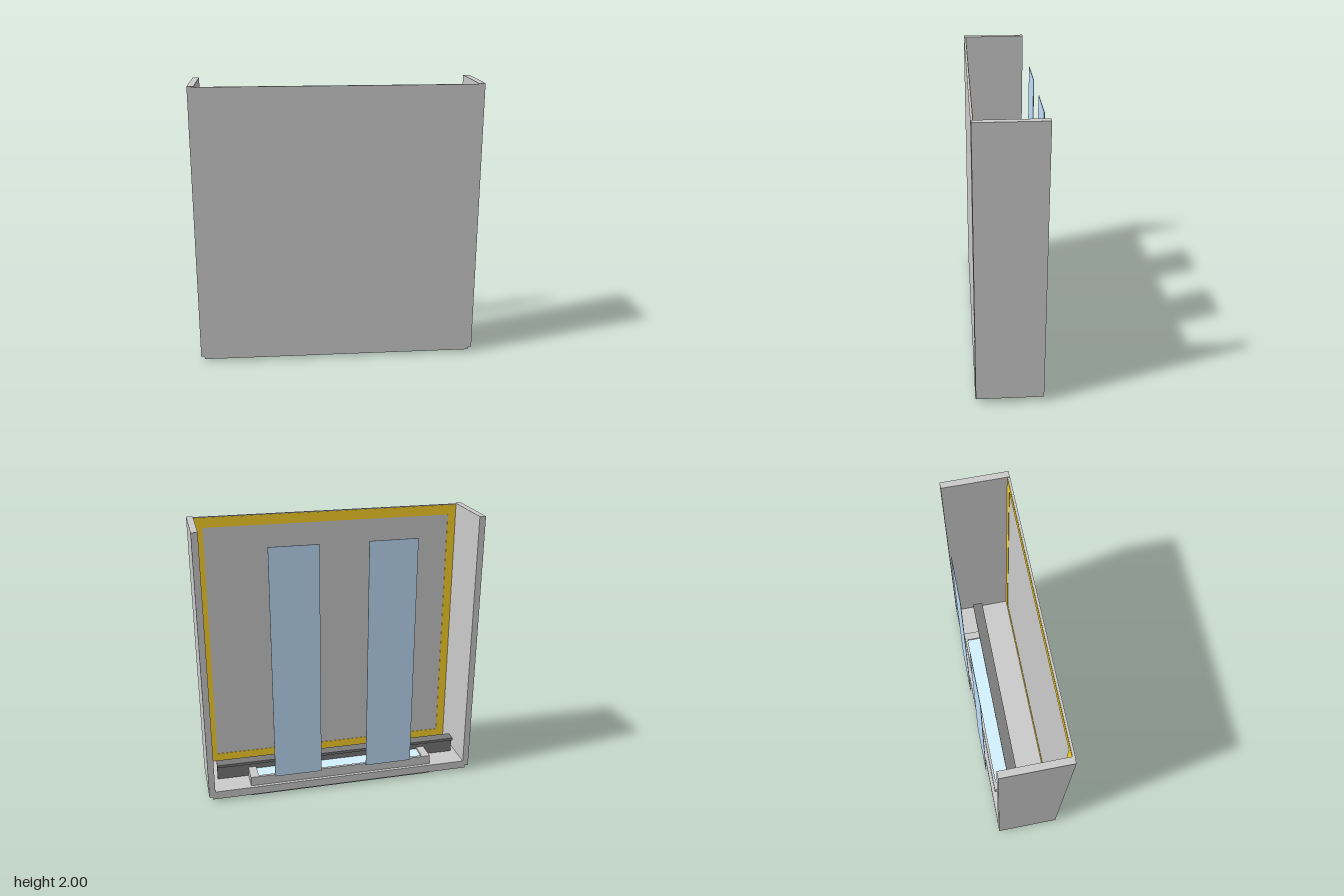
import * as THREE from 'three';

const mat = (color) => new THREE.MeshStandardMaterial({ color });
const grey = mat(0xcccccc);
const darkGrey = mat(0x7a7a7a);
const gold = mat(0xffd629);
const stripBlue = mat(0xbfe0fb);
const glassBlue = mat(0xd4f2ff);

// Box given by its lower and upper corners
function box(parent, name, material, [x0, y0, z0], [x1, y1, z1]) {
  const mesh = new THREE.Mesh(new THREE.BoxGeometry(x1 - x0, y1 - y0, z1 - z0), material);
  mesh.position.set((x0 + x1) / 2, (y0 + y1) / 2, (z0 + z1) / 2);
  mesh.name = name;
  parent.add(mesh);
  return mesh;
}

// Rectangular ring: outer and inner bounds [x0, y0, x1, y1], extruded along z
function ring(name, material, outer, inner, depth) {
  const corners = ([x0, y0, x1, y1]) => [[x0, y0], [x1, y0], [x1, y1], [x0, y1]].map(([x, y]) => new THREE.Vector2(x, y));
  const shape = new THREE.Shape(corners(outer));
  shape.holes.push(new THREE.Path(corners(inner).reverse()));
  const mesh = new THREE.Mesh(new THREE.ExtrudeGeometry(shape, { depth, bevelEnabled: false }), material);
  mesh.name = name;
  return mesh;
}

export function createModel() {
  const model = new THREE.Group();
  model.name = 'openCabinet';

  // Shell: front panel, floor and two sides, open at the top and back
  box(model, 'frontPanel', grey, [-0.975, 0.02, 0.222], [0.975, 1.995, 0.237]);
  box(model, 'floor', grey, [-0.975, 0.02, -0.224], [0.975, 0.08, 0.23]);
  for (const s of [-1, 1]) {
    const side = box(model, s > 0 ? 'leftSide' : 'rightSide', grey, [0.955, 0.04, -0.225], [1, 2, 0.234]);
    side.position.x *= s;
  }

  // Gold sealing frame on the inside of the front panel
  const seal = ring('sealFrame', gold, [-0.955, 0.08, 0.955, 1.99], [-0.895, 0.14, 0.895, 1.92], 0.004);
  seal.position.z = 0.219;
  model.add(seal);

  // Cross rail: flange on an upright web
  const rail = new THREE.Group();
  rail.name = 'crossRail';
  box(rail, 'railFlange', darkGrey, [-0.92, 0.19, -0.08], [0.92, 0.21, 0]);
  box(rail, 'railWeb', darkGrey, [-0.92, 0.08, -0.05], [0.92, 0.19, -0.03]);
  model.add(rail);

  // Tray with raised rim, glass insert and a foot below the floor
  const tray = new THREE.Group();
  tray.name = 'tray';
  const rim = ring('trayRim', grey, [-0.69, 0.02, 0.69, 0.2], [-0.63, 0.04, 0.63, 0.18], 0.07);
  rim.rotation.x = -Math.PI / 2;
  rim.position.y = 0.08;
  tray.add(rim);
  box(tray, 'trayGlass', glassBlue, [-0.63, 0.08, -0.18], [0.63, 0.135, -0.04]);
  box(tray, 'trayFoot', grey, [-0.69, 0, -0.2], [0.69, 0.02, -0.02]);
  model.add(tray);

  // Two thin upright strips behind the open back
  for (const s of [-1, 1]) {
    const strip = box(model, s > 0 ? 'leftStrip' : 'rightStrip', stripBlue, [0.17, 0.16, -0.241], [0.515, 1.88, -0.236]);
    strip.position.x *= s;
  }

  return model;
}
